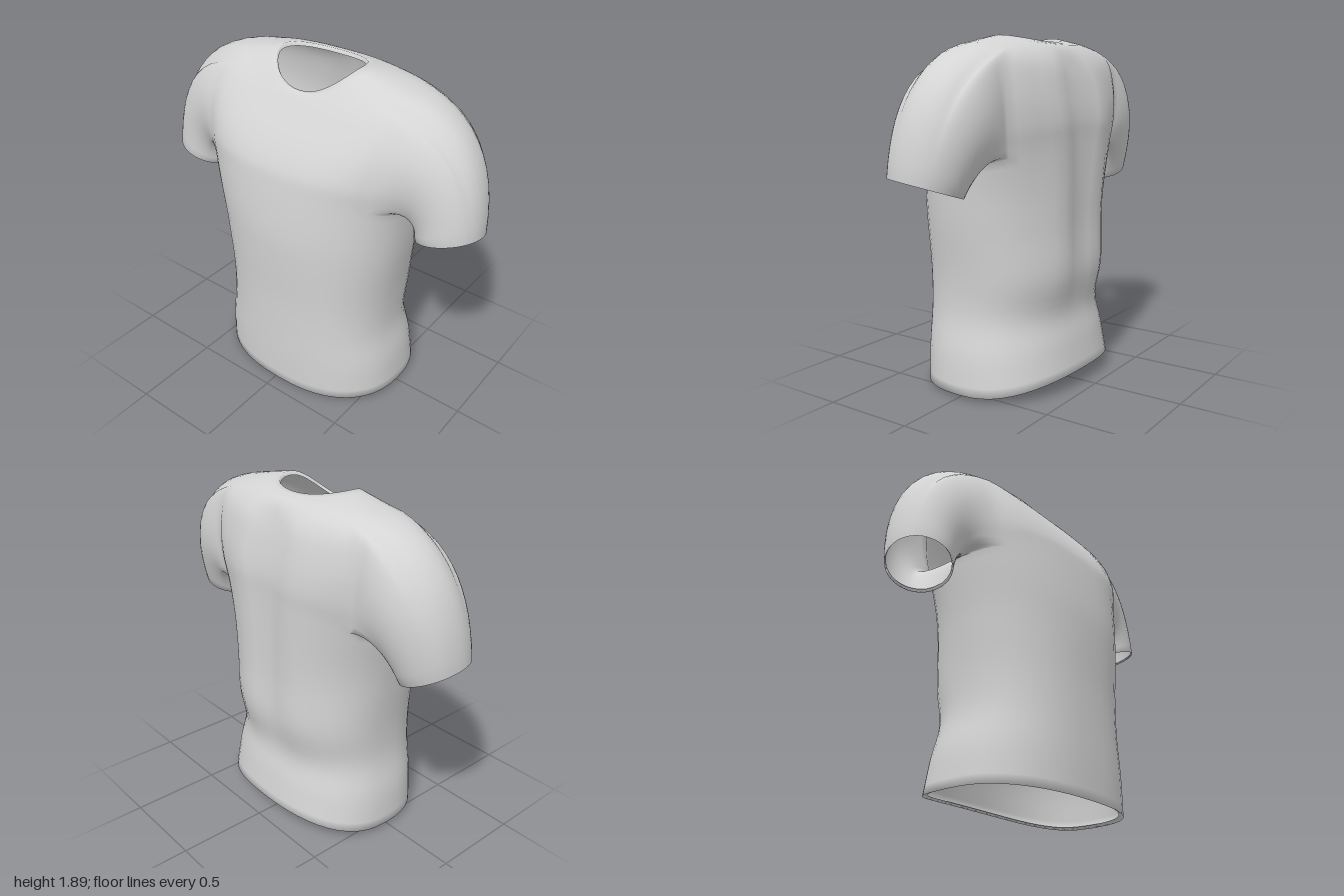
import * as THREE from 'three';

const COLS = 48;   // points round the body
const SUB = 4;     // rows between key sections
const ARM = 5;     // half width of an armhole, in columns

// Body sections from hem to neck:
// half width, front z, back z, then height at front, side and back, then squareness
const SECTIONS = [
  [0.578, 0.42, -0.44, 0.01, 0.03, 0.10, 2.4],
  [0.562, 0.425, -0.41, 0.22, 0.23, 0.27, 2.35],
  [0.525, 0.425, -0.38, 0.43, 0.43, 0.43, 2.35],
  [0.530, 0.427, -0.415, 0.64, 0.64, 0.64, 2.35],
  [0.560, 0.437, -0.41, 0.88, 0.88, 0.88, 2.25],
  [0.588, 0.437, -0.41, 1.08, 1.08, 1.08, 2.25],
  [0.612, 0.410, -0.41, 1.34, 1.25, 1.34, 2.5],   // armpit
  [0.635, 0.385, -0.41, 1.44, 1.43, 1.46, 2.75],
  [0.645, 0.325, -0.39, 1.55, 1.64, 1.59, 2.85],
  [0.620, 0.240, -0.35, 1.67, 1.81, 1.74, 2.6],
  [0.430, 0.185, -0.285, 1.745, 1.868, 1.84, 2.3],
  [0.255, 0.160, -0.20, 1.77, 1.90, 1.87, 2.1],   // neck
];
const ARM_LOW = 6 * SUB, ARM_HIGH = 9.5 * SUB;

const curveOf = (pick) => new THREE.CatmullRomCurve3(
  SECTIONS.map((s) => new THREE.Vector3(...pick(s))), false, 'catmullrom', 0.5);

const power = (v, e) => Math.sign(v) * Math.abs(v) ** e;

function buildCloth() {
  const verts = [];
  const index = [];
  const add = (x, y, z) => verts.push(x, y, z) / 3 - 1;
  const quad = (a, b, c, d) => index.push(a, d, c, a, c, b);
  const at = (i) => new THREE.Vector3().fromArray(verts, i * 3);

  // Body rows
  const depth = curveOf((s) => [s[0], s[1], s[2]]);
  const height = curveOf((s) => [s[3], s[4], s[5]]);
  const square = curveOf((s) => [s[6], 0, 0]);
  const rows = (SECTIONS.length - 1) * SUB;
  const body = [];
  for (let i = 0; i <= rows; i++) {
    const d = depth.getPoint(i / rows);
    const h = height.getPoint(i / rows);
    const e = 2 / square.getPoint(i / rows).x;
    const ring = [];
    for (let j = 0; j < COLS; j++) {
      const t = (j / COLS) * Math.PI * 2;
      const s = Math.sin(t);
      const y = h.y + ((s > 0 ? h.x : h.z) - h.y) * s * s;
      const low = 1 - THREE.MathUtils.smoothstep(y, 0.9, 1.3);
      const x = d.x * power(Math.cos(t), e) + 0.016 * low;
      let z = (d.y + d.z) / 2 + ((d.y - d.z) / 2) * power(s, e);
      // Soft hollow down the spine, with slight folds beside it
      if (s < 0) {
        const fade = THREE.MathUtils.smoothstep(y, 0.35, 0.8) *
          (1 - THREE.MathUtils.smoothstep(y, 1.72, 1.86));
        z += fade * (0.03 * Math.exp(-((x / 0.08) ** 2)) - 0.012 * Math.exp(-(((Math.abs(x) - 0.2) / 0.09) ** 2)));
      }
      ring.push(add(x, y, z));
    }
    body.push(ring);
  }
  const cell = (i, j) => body[i][(j + COLS) % COLS];
  const inArmhole = (i, j) => {
    const k = (j + ARM) % (COLS / 2);
    return i >= ARM_LOW && i < ARM_HIGH && k < ARM * 2;
  };
  for (let i = 0; i < rows; i++) {
    for (let j = 0; j < COLS; j++) {
      if (!inArmhole(i, j)) quad(cell(i, j), cell(i, j + 1), cell(i + 1, j + 1), cell(i + 1, j));
    }
  }

  // Rolled-in edge on an open ring
  const bridge = (from, to) => from.forEach((a, k) => {
    const n = (k + 1) % from.length;
    quad(a, from[n], to[n], to[k]);
  });
  const turnIn = (ring, shrink, lift) => {
    const centre = ring.reduce((c, i) => c.add(at(i)), new THREE.Vector3()).divideScalar(ring.length);
    return ring.map((i) => {
      const p = at(i).sub(centre).multiplyScalar(shrink).add(centre);
      return add(p.x, p.y + lift, p.z);
    });
  };
  bridge(turnIn(body[0], 0.95, 0.012), body[0]);
  bridge(body[rows], turnIn(body[rows], 0.96, -0.02));

  // Sleeves grow out of the armhole edges
  for (const side of [1, -1]) {
    const mid = side > 0 ? 0 : COLS / 2;
    const loop = [];
    for (let j = -ARM; j < ARM; j++) loop.push(cell(ARM_LOW, mid + j));
    for (let i = ARM_LOW; i < ARM_HIGH; i++) loop.push(cell(i, mid + ARM));
    for (let j = ARM; j > -ARM; j--) loop.push(cell(ARM_HIGH, mid + j));
    for (let i = ARM_HIGH; i > ARM_LOW; i--) loop.push(cell(i, mid - ARM));

    // Ring centre, direction to its outer edge, half depth and front-to-back tilt
    const cuff = side > 0
      ? { x: 0.825, y: 1.15, z: -0.01, ux: 0.175, uy: 0.05, w: 0.19, tilt: 0.025 }
      : { x: 0.84, y: 1.118, z: -0.01, ux: 0.16, uy: 0.06, w: 0.19, tilt: 0.025 };
    const bend = { x: 0.80, y: 1.50, z: -0.08, ux: 0.17, uy: 0.26, w: 0.25, tilt: 0 };
    const onRing = (r, a) => new THREE.Vector3(
      side * (r.x + r.ux * Math.cos(a)),
      r.y + r.uy * Math.cos(a) + r.tilt * Math.sin(a),
      r.z + r.w * Math.sin(a));

    const paths = loop.map((i) => {
      const p = at(i);
      const a = Math.atan2((p.z + 0.02) / 0.26, (p.y - 1.54) / 0.29);
      return new THREE.QuadraticBezierCurve3(p, onRing(bend, a), onRing(cuff, a));
    });
    let last = loop;
    const steps = 12;
    for (let s = 1; s <= steps; s++) {
      const ring = paths.map((c) => add(...c.getPoint(s / steps).toArray()));
      bridge(last, ring);
      last = ring;
    }
    bridge(last, turnIn(last, 0.95, 0.012));
  }

  const geo = new THREE.BufferGeometry();
  geo.setAttribute('position', new THREE.Float32BufferAttribute(verts, 3));
  geo.setIndex(index);
  geo.computeVertexNormals();
  return geo;
}

export function createModel() {
  const cloth = new THREE.MeshStandardMaterial({ color: 0xd4d4d4, side: THREE.DoubleSide });
  cloth.name = 'light grey cloth';
  const shirt = new THREE.Mesh(buildCloth(), cloth);
  shirt.name = 'shirtBodyAndSleeves';
  const group = new THREE.Group();
  group.name = 'tShirt';
  group.add(shirt);
  return group;
}
